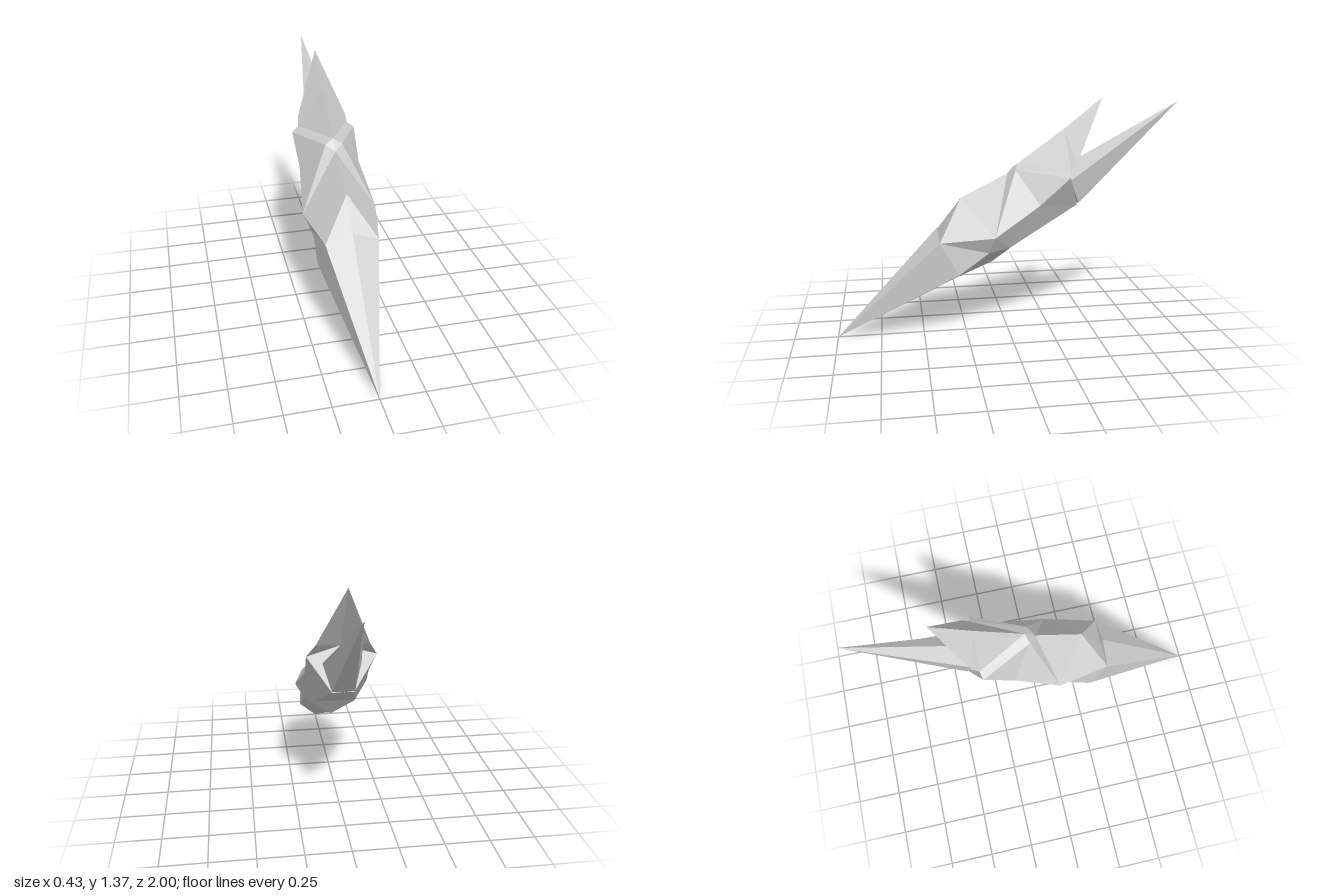
import * as THREE from 'three';

const material = new THREE.MeshStandardMaterial({ color: 0xcccccc, flatShading: true });

// Shared corner points of the left half (x >= 0); the other half is mirrored.
const P = {
  // nose
  tip: [0, 0, 1], noseTop: [0, 0.64, 0.41], brow: [0.15, 0.585, 0.405],
  jaw: [0.172, 0.4, 0.3], chin: [0, 0.33, 0.3],
  // body
  neck: [0, 0.6, 0.4], hump: [0, 0.81, 0.27], back: [0, 0.945, 0],
  flank: [0.215, 0.62, 0.1], waist: [0.18, 0.79, -0.16], hip: [0.19, 0.945, -0.33],
  collar: [0.05, 0.972, -0.04], collarTop: [0, 1.0, -0.06], ledge: [0.15, 0.975, -0.34],
  under: [0.165, 0.52, 0.13], belly: [0.13, 0.54, 0], bellyMid: [0, 0.54, 0],
  keel: [0, 0.42, 0.09], rump: [0.06, 0.76, -0.4], rumpMid: [0, 0.76, -0.4],
  // crest
  ridge: [0, 1.195, -0.33], peak: [0, 1.37, -0.55], barb: [0.145, 1.02, -0.378], inner: [0, 0.99, -0.3],
  // tail
  tailTip: [0, 1.34, -1], tailTop: [0, 1.0, -0.37], tailSide: [0.105, 0.91, -0.35],
  tailLow: [0.062, 0.77, -0.41],
};

// Builds a faceted, mirrored shell; each triangle is turned away from the inner point.
function shell(name, inner, faces) {
  const c = new THREE.Vector3(...inner);
  const out = [];
  for (const face of faces) {
    let [a, b, d] = face.split(' ').map((k) => new THREE.Vector3(...P[k]));
    const n = b.clone().sub(a).cross(d.clone().sub(a));
    if (n.dot(a.clone().sub(c)) < 0) [b, d] = [d, b];
    for (const v of [a, b, d]) out.push(v.x, v.y, v.z);
    if (a.x + b.x + d.x > 0) for (const v of [a, d, b]) out.push(-v.x, v.y, v.z);
  }
  const g = new THREE.BufferGeometry();
  g.setAttribute('position', new THREE.Float32BufferAttribute(out, 3));
  g.computeVertexNormals();
  const mesh = new THREE.Mesh(g, material);
  mesh.name = name;
  return mesh;
}

export function createModel() {
  const group = new THREE.Group();
  group.name = 'spikedShard';

  group.add(shell('nose', [0, 0.4, 0.45], [
    'tip noseTop brow', 'tip brow jaw', 'tip jaw chin',
    'noseTop brow chin', 'brow jaw chin',
  ]));

  group.add(shell('body', [0, 0.7, 0], [
    // upper facets
    'hump flank brow', 'hump brow neck', 'hump back flank', 'back collar flank',
    'back collarTop collar', 'collar waist flank', 'collar hip waist',
    // ledge below the crest
    'collar ledge hip', 'collar collarTop ledge',
    // lower sides
    'brow flank under', 'brow under jaw', 'flank belly under',
    'flank waist belly', 'waist rump belly', 'waist hip rump',
    // underside
    'under belly keel', 'under keel jaw', 'jaw keel chin',
    'belly rump rumpMid', 'belly rumpMid bellyMid', 'belly bellyMid keel',
    // ends
    'hip inner rump', 'inner rumpMid rump', 'brow jaw chin', 'brow chin neck',
  ]));

  group.add(shell('crest', [0, 1.1, -0.28], [
    'collarTop ledge ridge', 'ledge barb ridge', 'ridge barb peak',
    'peak barb inner', 'barb hip inner', 'ledge hip barb',
  ]));

  group.add(shell('tailSpike', [0, 0.95, -0.5], [
    'tailTip tailTop tailSide', 'tailTip tailSide tailLow', 'tailTip tailLow rumpMid',
    'tailTop tailSide rumpMid', 'tailSide tailLow rumpMid',
  ]));

  return group;
}
